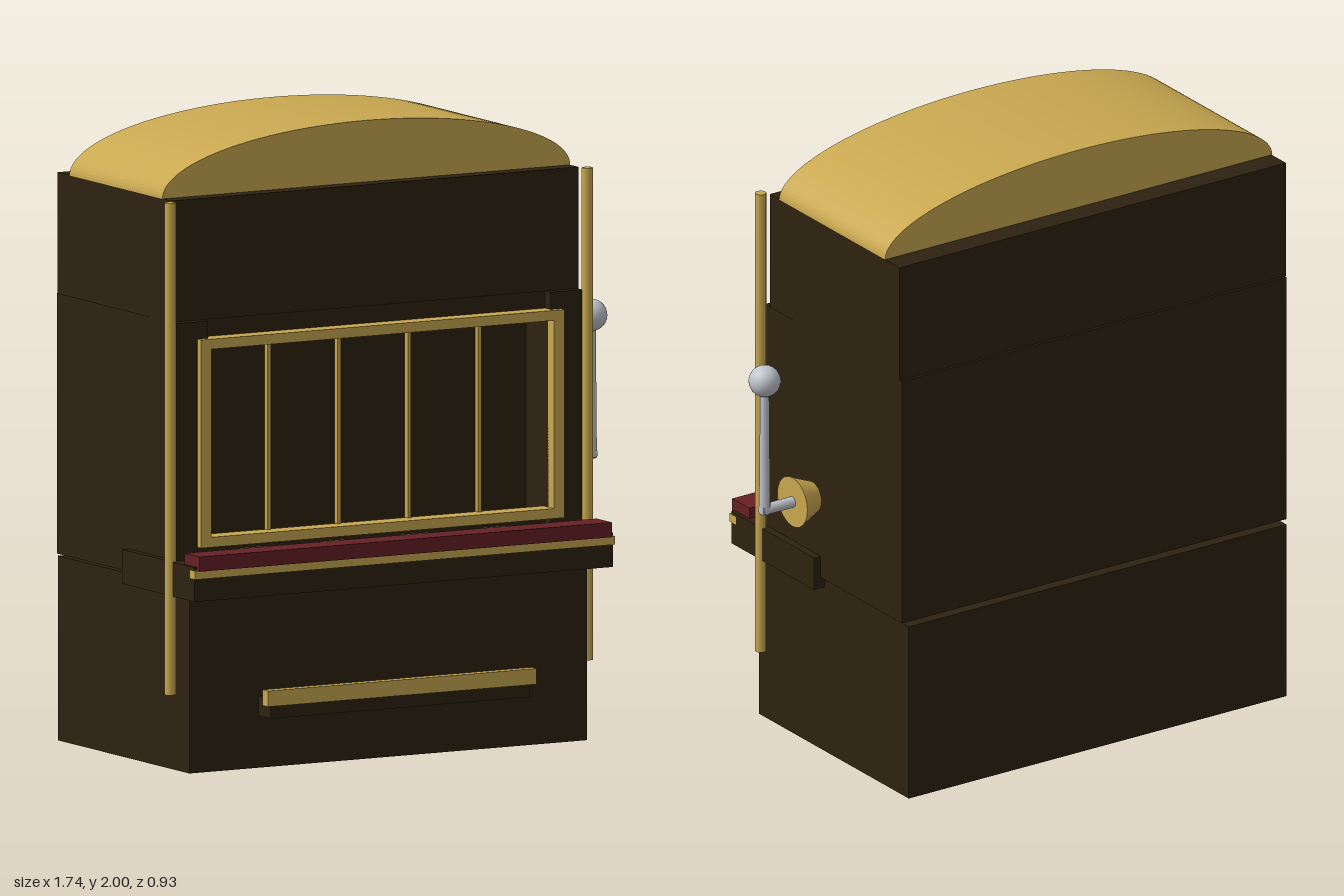
import * as THREE from 'three';

const material = (name, color) => {
  const m = new THREE.MeshStandardMaterial({ color });
  m.name = name;
  return m;
};

export function createModel() {
  const wood = material('dark wood', 0x2e2210);
  const gold = material('brass', 0xc9a850);
  const red = material('red padding', 0x662024);
  const steel = material('steel', 0xc0c4cc);
  const model = new THREE.Group();
  model.name = 'slotMachine';
  const midX = -0.1;

  const add = (name, geometry, mat, x = 0, y = 0, z = 0) => {
    const mesh = new THREE.Mesh(geometry, mat);
    mesh.name = name;
    mesh.position.set(x, y, z);
    model.add(mesh);
    return mesh;
  };
  // Box given by its limits on each axis
  const box = (name, mat, x0, x1, y0, y1, z0, z1) =>
    add(name, new THREE.BoxGeometry(x1 - x0, y1 - y0, z1 - z0), mat,
      (x0 + x1) / 2, (y0 + y1) / 2, (z0 + z1) / 2);

  // Cabinet
  box('baseCabinet', wood, -0.82, 0.62, 0, 0.585, -0.464, 0.362);
  box('reelCabinet', wood, -0.832, 0.635, 0.595, 1.42, -0.448, 0.15);
  box('reelFloor', wood, -0.83, 0.633, 0.597, 0.705, 0.15, 0.27);
  box('reelLintel', wood, -0.83, 0.633, 1.335, 1.419, 0.15, 0.27);
  box('upperCabinet', wood, -0.836, 0.637, 1.42, 1.805, -0.439, 0.277);
  for (const s of [-1, 1]) {
    const x = midX + s * 0.677;
    box('windowPillar', wood, x - 0.057, x + 0.057, 0.6, 1.42, 0.14, 0.305);
  }

  // Half-elliptical crown
  const arch = new THREE.Shape();
  arch.moveTo(0.738, 0);
  arch.absellipse(0, 0, 0.738, 0.195, 0, Math.PI, false, 0);
  arch.closePath();
  add('crown', new THREE.ExtrudeGeometry(arch, { depth: 0.584, bevelEnabled: false, curveSegments: 32 }),
    gold, midX, 1.805, -0.36);

  // Window frame and reel dividers
  const frame = new THREE.Shape([[-0.658, 0.705], [0.658, 0.705], [0.658, 1.365], [-0.658, 1.365]]
    .map(p => new THREE.Vector2(...p)));
  frame.holes.push(new THREE.Path([[-0.62, 0.737], [-0.62, 1.333], [0.62, 1.333], [0.62, 0.737]]
    .map(p => new THREE.Vector2(...p))));
  add('windowFrame', new THREE.ExtrudeGeometry(frame, { depth: 0.067, bevelEnabled: false }),
    gold, midX, 0, 0.26);
  for (let i = 0; i < 4; i++) {
    const x = midX + (i - 1.5) * 0.254;
    box('reelDivider', gold, x - 0.006, x + 0.006, 0.737, 1.333, 0.255, 0.275);
  }

  // Shelf with armrest, trim and buttons
  box('shelf', wood, -0.855, 0.66, 0.558, 0.667, 0, 0.455);
  box('shelfTrim', gold, -0.858, 0.661, 0.63, 0.657, 0.43, 0.465);
  box('armrest', red, -0.845, 0.647, 0.655, 0.702, 0.375, 0.47);
  for (let i = 0; i < 4; i++) {
    add('button', new THREE.CylinderGeometry(0.05, 0.05, 0.02, 20), gold,
      midX + (i - 1.5) * 0.293, 0.675, 0.286);
  }

  // Coin tray
  box('coinTray', wood, -0.57, 0.37, 0.165, 0.228, 0.35, 0.437);
  box('trayLip', gold, -0.585, 0.387, 0.205, 0.255, 0.415, 0.447);

  // Corner posts
  for (const s of [-1, 1]) {
    add('cornerPost', new THREE.CylinderGeometry(0.018, 0.018, 1.56, 12), gold, midX + s * 0.755, 1.025, 0.302);
  }

  // Pull lever: flared hub, arm and ball
  const hub = add('leverHub', new THREE.CylinderGeometry(0.05, 0.083, 0.077, 24), gold, 0.673, 0.855, 0.045);
  hub.rotation.z = Math.PI / 2;
  const axle = add('leverAxle', new THREE.CylinderGeometry(0.018, 0.018, 0.13, 12), steel, 0.765, 0.855, 0.045);
  axle.rotation.z = Math.PI / 2;
  add('leverArm', new THREE.CylinderGeometry(0.014, 0.018, 0.45, 12), steel, 0.817, 1.068, 0.045);
  add('leverBall', new THREE.SphereGeometry(0.051, 20, 14), steel, 0.817, 1.293, 0.045);

  return model;
}
